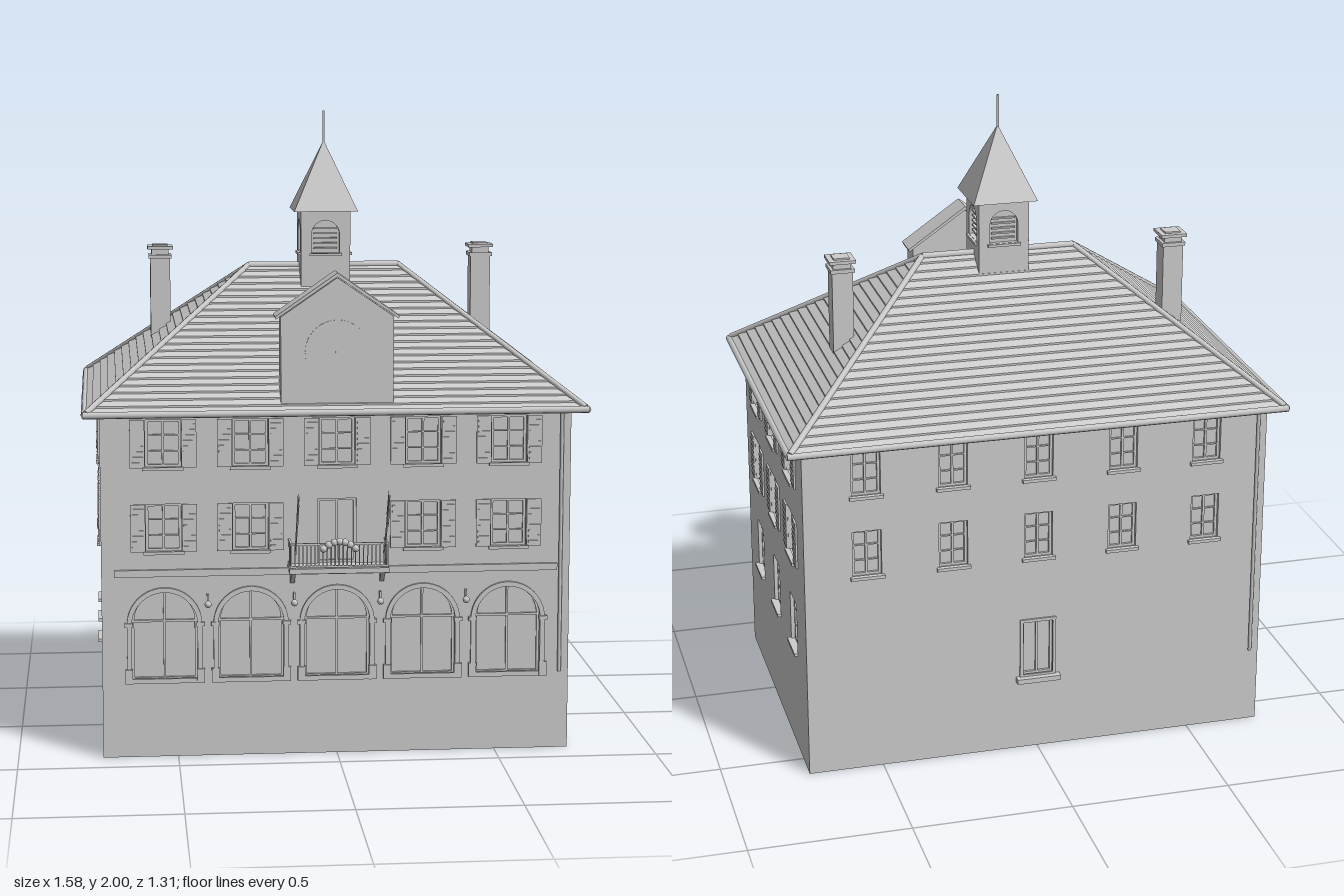
import * as THREE from 'three';
import { mergeGeometries } from 'three/addons/utils/BufferGeometryUtils.js';

const grey = new THREE.MeshStandardMaterial({ color: 0xcccccc });
grey.name = 'plain grey';
const greyThin = grey.clone();
greyThin.side = THREE.DoubleSide;

function add(parent, name, geo, x = 0, y = 0, z = 0, mat = grey) {
  const m = new THREE.Mesh(geo, mat);
  m.name = name;
  m.position.set(x, y, z);
  parent.add(m);
  return m;
}
const box = (w, h, d, x = 0, y = 0, z = 0) => new THREE.BoxGeometry(w, h, d).translate(x, y, z);

// straight round bar between two points
function bar(parent, name, a, b, r, sides = 6) {
  const va = new THREE.Vector3(...a), vb = new THREE.Vector3(...b);
  const m = add(parent, name, new THREE.CylinderGeometry(r, r, va.distanceTo(vb), sides));
  m.position.lerpVectors(va, vb, 0.5);
  m.quaternion.setFromUnitVectors(new THREE.Vector3(0, 1, 0), vb.clone().sub(va).normalize());
  return m;
}

// rectangular or round-headed outline standing on y0
function outline(cx, y0, w, h, arched, Type = THREE.Path) {
  const p = new Type(), r = w / 2;
  p.moveTo(cx - r, y0).lineTo(cx + r, y0);
  if (arched) {
    p.lineTo(cx + r, y0 + h - r);
    p.absarc(cx, y0 + h - r, r, 0, Math.PI, false);
  } else p.lineTo(cx + r, y0 + h).lineTo(cx - r, y0 + h);
  p.closePath();
  return p;
}
const extrude = (s, depth) => new THREE.ExtrudeGeometry(s, { depth, bevelEnabled: false, curveSegments: 16 });
function frameGeo(w, h, t, depth, arched) {
  const s = outline(0, 0, w, h, arched, THREE.Shape);
  s.holes.push(outline(0, t, w - 2 * t, h - 2 * t, arched));
  return extrude(s, depth);
}

// louvred shutter leaf
const slats = [box(0.046, 0.15, 0.006)];
for (let i = 0; i < 8; i++) slats.push(box(0.036, 0.006, 0.003, 0, -0.06 + i * 0.017, 0.0045));
const shutterGeo = mergeGeometries(slats);

const RECESS = 0.02;

// one side of the house: local x along the wall, z = 0 on its outer face
function facade(name, width, openings) {
  const g = new THREE.Group();
  g.name = name;
  const s = new THREE.Shape([[-1, 0], [1, 0], [1, 1.09], [-1, 1.09]].map(([x, y]) => new THREE.Vector2(x * width / 2, y)));
  for (const o of openings) s.holes.push(outline(o.x, o.y, o.w, o.h, o.arch));
  add(g, 'wall', extrude(s, RECESS), 0, 0, -RECESS);
  for (const o of openings) {
    add(g, 'windowFrame', frameGeo(o.w, o.h, 0.008, 0.008, o.arch), o.x, o.y, -RECESS);
    const bars = [box(0.007, o.h - 0.01, 0.008, 0, o.h / 2, 0)];
    if (o.arch) bars.push(box(o.w - 0.01, 0.007, 0.008, 0, o.h - o.w / 2, 0));
    else if (!o.door) for (const k of [1, 2]) bars.push(box(o.w - 0.01, 0.004, 0.006, 0, o.h * k / 3, 0));
    add(g, 'windowBars', mergeGeometries(bars), o.x, o.y, -RECESS + 0.004);
    if (!o.arch && !o.door) add(g, 'sill', box(o.w + 0.016, 0.01, 0.016), o.x, o.y - 0.003, 0.004);
    if (o.shutters) for (const k of [-1, 1]) add(g, 'shutter', shutterGeo, o.x + k * (o.w / 2 + 0.025), o.y + o.h / 2, 0.003);
  }
  return g;
}

const columns = [-0.54, -0.27, 0, 0.27, 0.54];
const upper = (x, w, shutters) => [{ x, y: 0.655, w, h: 0.15, shutters }, { x, y: 0.92, w, h: 0.15, shutters }];

// hipped roof in stepped tile courses
function hipRoof() {
  const pos = [], N = 22, cz = -0.1125, lift = 0.006;
  const ring = (t, dy) => {
    const x = 0.78 + (0.245 - 0.78) * t, z = 0.537 * (1 - t), y = 1.09 + 0.41 * t + dy;
    return [[-x, y, cz + z], [x, y, cz + z], [x, y, cz - z], [-x, y, cz - z]];
  };
  const band = (a, b) => {
    for (let i = 0; i < 4; i++) {
      const j = (i + 1) % 4;
      pos.push(...a[i], ...a[j], ...b[j], ...a[i], ...b[j], ...b[i]);
    }
  };
  for (let k = 0; k < N; k++) {
    const low = ring(k / N, lift);
    band(ring(k / N, 0), low);
    band(low, ring((k + 1) / N, 0));
  }
  const geo = new THREE.BufferGeometry();
  geo.setAttribute('position', new THREE.Float32BufferAttribute(pos, 3));
  geo.computeVertexNormals();
  return geo;
}

export function createModel() {
  const model = new THREE.Group();
  model.name = 'townHall';

  // solid core and four facades
  add(model, 'core', box(1.43, 1.09, 0.95, 0, 0.545, -0.105));

  const front = facade('frontFacade', 1.47, [
    ...columns.map(x => ({ x, y: 0.245, w: 0.205, h: 0.29, arch: true })),
    ...columns.flatMap(x => x ? upper(x, 0.11, true) : [{ x, y: 0.61, w: 0.12, h: 0.205, door: true }, { x, y: 0.92, w: 0.11, h: 0.15, shutters: true }]),
  ]);
  front.position.z = 0.39;
  const back = facade('backFacade', 1.47, [...columns.flatMap(x => upper(x, 0.09, false)), { x: 0, y: 0.25, w: 0.1, h: 0.19, door: true }]);
  back.position.z = -0.6;
  back.rotation.y = Math.PI;
  model.add(front, back);
  for (const k of [-1, 1]) {
    const side = facade(k > 0 ? 'leftFacade' : 'rightFacade', 0.95,
      [0.29, 0, -0.29].flatMap(x => [{ x, y: 0.345, w: 0.105, h: 0.165 }, ...upper(x, 0.105, true)]));
    side.position.set(k * 0.735, 0, -0.105);
    side.rotation.y = k * Math.PI / 2;
    model.add(side);
  }

  // arcade trim: arch surrounds, pillar feet, capitals and sills
  for (const x of columns) {
    add(front, 'archSurround', frameGeo(0.235, 0.305, 0.015, 0.01, true), x, 0.237, 0);
    for (const k of [-1, 1]) {
      add(front, 'pillarFoot', box(0.024, 0.045, 0.016), x + k * 0.112, 0.26, 0.006);
      add(front, 'capital', box(0.026, 0.012, 0.016), x + k * 0.112, 0.425, 0.006);
    }
  }
  for (const x of [-0.405, -0.135, 0.135, 0.405]) {
    add(front, 'wallLamp', new THREE.SphereGeometry(0.011, 10, 8), x, 0.49, 0.022);
    add(front, 'lampBracket', box(0.006, 0.03, 0.02), x, 0.505, 0.01);
  }
  add(front, 'stringCourse', box(1.39, 0.022, 0.012), 0, 0.588, 0.004);
  add(back, 'doorStep', box(0.14, 0.016, 0.025), 0, 0.242, 0.012);
  add(back, 'doorFrame', frameGeo(0.116, 0.2, 0.01, 0.006, false), 0, 0.247, 0);
  for (const f of [front, back]) bar(f, 'downpipe', [0.705, 0.25, 0.008], [0.705, 1.08, 0.008], 0.006, 8);

  // balcony
  const balcony = new THREE.Group();
  balcony.name = 'balcony';
  front.add(balcony);
  add(balcony, 'slab', box(0.31, 0.016, 0.085), 0, 0.602, 0.042);
  for (const k of [-1, 1]) {
    const s = new THREE.Shape([new THREE.Vector2(0, 0), new THREE.Vector2(0.06, 0), new THREE.Vector2(0, -0.045)]);
    add(balcony, 'bracket', extrude(s, 0.014).rotateY(-Math.PI / 2), k * 0.14 + 0.007, 0.594, 0);
    for (const y of [0.616, 0.687]) add(balcony, 'sideRail', box(0.006, 0.006, 0.08), k * 0.15, y, 0.04);
    for (let i = 0; i < 5; i++) add(balcony, 'baluster', box(0.004, 0.075, 0.004), k * 0.15, 0.65, 0.012 + i * 0.016);
    // slanted pole with a flag hanging in its plane
    bar(balcony, 'flagPole', [k * 0.138, 0.66, 0.1], [k * 0.138, 0.865, 0.235], 0.003);
    const flag = add(balcony, 'flag', new THREE.PlaneGeometry(0.063, 0.1).rotateY(Math.PI / 2), k * 0.138, 0.818, 0.209, greyThin);
    flag.rotation.x = 0.6;
  }
  for (const y of [0.616, 0.687]) add(balcony, 'frontRail', box(0.306, 0.006, 0.006), 0, y, 0.08);
  for (let i = 0; i <= 24; i++) add(balcony, 'baluster', box(0.004, 0.075, 0.004), -0.15 + i * 0.0125, 0.65, 0.08);
  for (let i = 0; i < 7; i++) {
    const u = (i - 3) / 3;
    add(balcony, 'flowers', new THREE.IcosahedronGeometry(0.012, 1), u * 0.05, 0.695 - 0.022 * u * u, 0.086);
  }

  // main roof, soffit, gutters and ridge caps
  add(model, 'roof', hipRoof());
  add(model, 'soffit', box(1.56, 0.012, 1.075, 0, 1.085, -0.1125));
  for (const z of [0.423, -0.648]) bar(model, 'gutter', [-0.785, 1.09, z], [0.785, 1.09, z], 0.011, 8);
  for (const x of [-0.78, 0.78]) bar(model, 'gutter', [x, 1.09, -0.65], [x, 1.09, 0.425], 0.011, 8);
  bar(model, 'ridgeCap', [-0.245, 1.5, -0.1125], [0.245, 1.5, -0.1125], 0.011, 8);
  for (const x of [-1, 1]) for (const z of [0.42, -0.645])
    bar(model, 'hipCap', [x * 0.775, 1.097, z], [x * 0.245, 1.5, -0.1125], 0.01, 8);

  // clock gable
  const gable = new THREE.Shape([[-0.175, 1.115], [0.175, 1.115], [0.175, 1.385], [0, 1.505], [-0.175, 1.385]].map(p => new THREE.Vector2(...p)));
  add(model, 'clockGable', extrude(gable, 0.08), 0, 0, 0.317);
  const cover = new THREE.Shape([[-0.19, 1.378], [0, 1.508], [0.19, 1.378], [0.193, 1.386], [0, 1.52], [-0.193, 1.386]].map(p => new THREE.Vector2(...p)));
  add(model, 'gableRoof', extrude(cover, 0.095), 0, 0, 0.305);
  add(model, 'clockFace', new THREE.CylinderGeometry(0.1, 0.1, 0.005, 32).rotateX(Math.PI / 2), 0, 1.275, 0.398);
  add(model, 'clockHub', new THREE.CylinderGeometry(0.006, 0.006, 0.004, 12).rotateX(Math.PI / 2), 0, 1.275, 0.402);

  // chimneys
  for (const x of [-0.53, 0.53]) {
    const c = new THREE.Group();
    c.name = 'chimney';
    c.position.set(x, 0, -0.23);
    model.add(c);
    add(c, 'shaft', box(0.065, 0.27, 0.065, 0, 1.39, 0));
    add(c, 'collar', box(0.075, 0.012, 0.075, 0, 1.522, 0));
    add(c, 'flue', box(0.056, 0.025, 0.056, 0, 1.538, 0));
    add(c, 'cap', box(0.083, 0.01, 0.083, 0, 1.551, 0));
    add(c, 'capTop', box(0.05, 0.006, 0.05, 0, 1.558, 0));
  }

  // bell turret with louvred arches and a spire
  const turret = new THREE.Group();
  turret.name = 'bellTurret';
  turret.position.set(0, 0, -0.105);
  model.add(turret);
  add(turret, 'turretCore', box(0.13, 0.27, 0.13, 0, 1.545, 0));
  for (let i = 0; i < 4; i++) {
    const face = new THREE.Group();
    face.name = 'turretSide';
    face.rotation.y = i * Math.PI / 2;
    turret.add(face);
    const s = outline(0, 1.41, 0.16, 0.27, false, THREE.Shape);
    s.holes.push(outline(0, 1.545, 0.09, 0.105, true));
    add(face, 'turretWall', extrude(s, 0.015), 0, 0, 0.065);
    add(face, 'turretSill', box(0.105, 0.008, 0.012), 0, 1.54, 0.082);
    for (let k = 0; k < 5; k++) add(face, 'louvre', box(0.075, 0.005, 0.01), 0, 1.56 + k * 0.016, 0.068);
  }
  add(turret, 'spire', new THREE.ConeGeometry(0.103 * Math.SQRT2, 0.225, 4).toNonIndexed().rotateY(Math.PI / 4), 0, 1.7925, 0).geometry.computeVertexNormals();
  bar(turret, 'finial', [0, 1.89, 0], [0, 2, 0], 0.004);
  return model;
}
